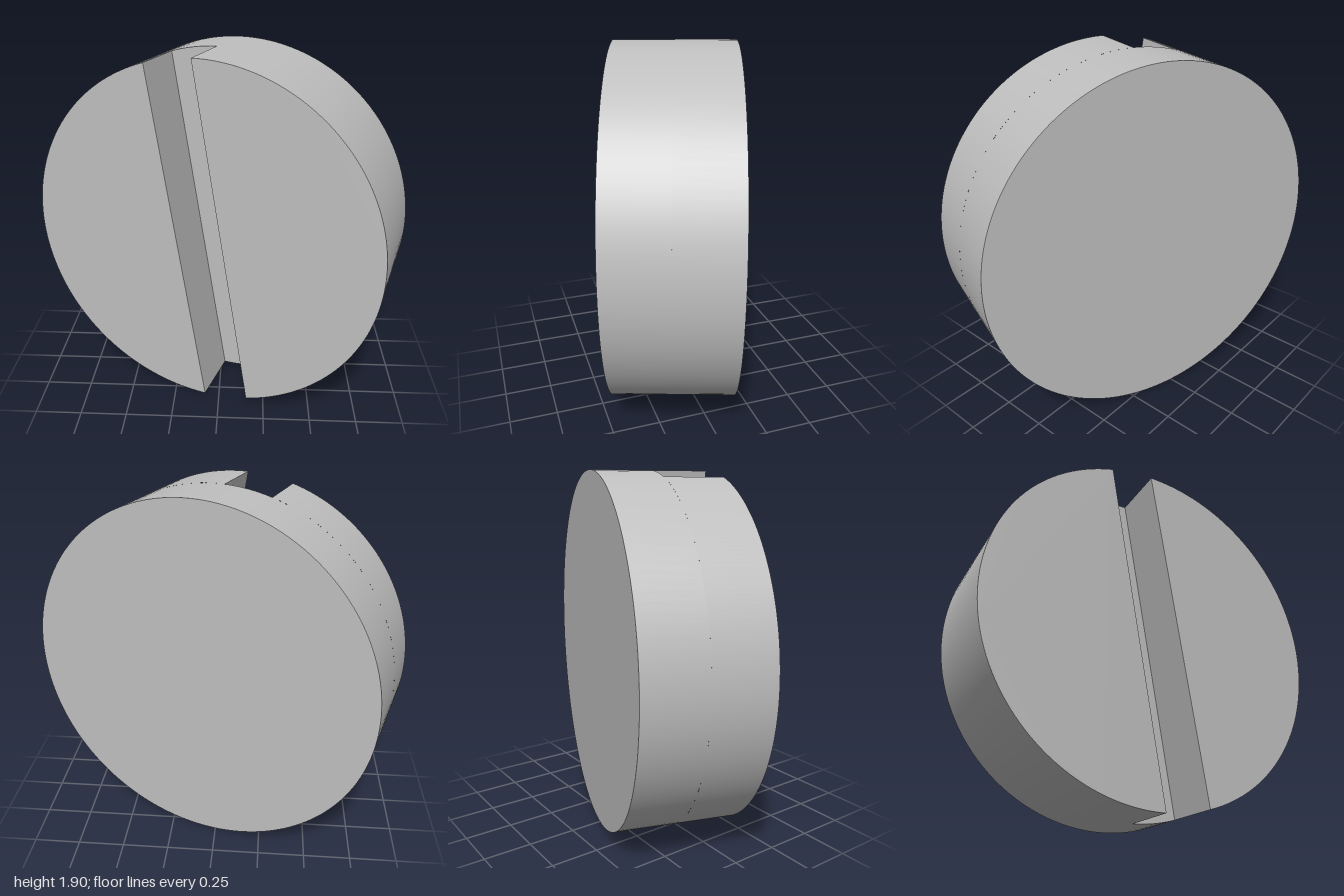
import * as THREE from 'three';

const R = 0.948;         // disc radius
const T = 0.626;         // disc thickness
const DEPTH = 0.313;     // slot depth
const HALF = 0.125;      // half the slot width
const A = Math.asin(HALF / R); // angle from the slot axis to its edge at the rim
const SEG = 128;

export function createModel() {
  const model = new THREE.Group();
  model.name = 'slottedDisc';
  const grey = new THREE.MeshStandardMaterial({ color: 0xbfbfbf });
  grey.name = 'grey';

  const disc = new THREE.Group();
  disc.name = 'disc';
  const add = (parent, name, geometry) => {
    const mesh = new THREE.Mesh(geometry, grey);
    mesh.name = name;
    parent.add(mesh);
  };
  // open curved wall around the z axis, centred on depth z
  const rim = (height, z, start, length) =>
    new THREE.CylinderGeometry(R, R, height, SEG, 1, true, start, length)
      .rotateX(Math.PI / 2).translate(0, 0, z);

  const floorZ = T / 2 - DEPTH;

  // solid rear half
  add(disc, 'backFace', new THREE.CircleGeometry(R, SEG * 2).rotateY(Math.PI).translate(0, 0, -T / 2));
  add(disc, 'rearRim', rim(T - DEPTH, (floorZ - T / 2) / 2, 0, Math.PI * 2));

  // slot floor with rounded ends
  const strip = new THREE.Shape();
  strip.absarc(0, 0, R, Math.PI / 2 - A, Math.PI / 2 + A, false);
  strip.absarc(0, 0, R, Math.PI * 1.5 - A, Math.PI * 1.5 + A, false);
  strip.closePath();
  add(disc, 'slotFloor', new THREE.ShapeGeometry(strip, 16).translate(0, 0, floorZ));

  // the two raised halves either side of the slot
  const segment = new THREE.Shape();
  segment.absarc(0, 0, R, A - Math.PI / 2, Math.PI / 2 - A, false);
  segment.closePath();
  for (const [name, turn] of [['leftHalf', 0], ['rightHalf', Math.PI]]) {
    const half = new THREE.Group();
    half.name = name;
    half.rotation.z = turn;
    const midZ = T / 2 - DEPTH / 2;
    add(half, 'frontFace', new THREE.ShapeGeometry(segment, SEG).translate(0, 0, T / 2));
    add(half, 'frontRim', rim(DEPTH, midZ, A, Math.PI - 2 * A));
    add(half, 'slotWall', new THREE.PlaneGeometry(DEPTH, 2 * R * Math.cos(A))
      .rotateY(-Math.PI / 2).translate(HALF, 0, midZ));
    disc.add(half);
  }

  // tilt the slot, then turn the disc about the vertical
  disc.rotation.set(0, -0.333, 0.158);
  disc.position.y = R;
  model.add(disc);
  return model;
}
